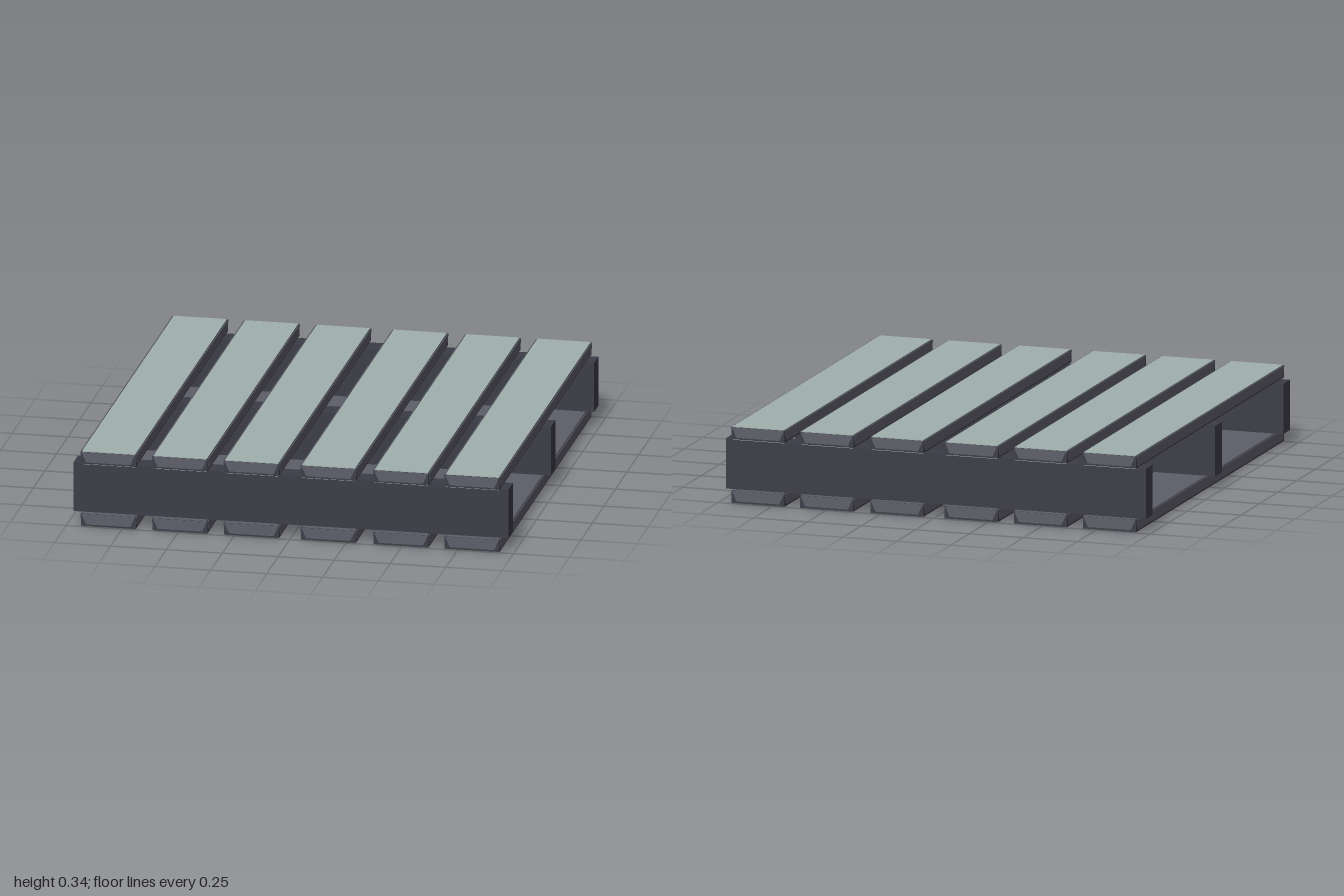
import * as THREE from 'three';

const mat = (name, color) => Object.assign(new THREE.MeshStandardMaterial({ color }), { name });

const LENGTH = 2, WIDTH = 0.252, HEIGHT = 0.06, PLATE = 0.003;

export function createModel() {
  const dark = mat('dark frame', 0x3c3c46);
  const grey = mat('grey board', 0x5e5e69);
  const green = mat('pale green face', 0xa0b0ad);
  const model = new THREE.Group();
  model.name = 'pallet';

  const box = (parent, name, material, w, h, d, x, y, z) => {
    const mesh = new THREE.Mesh(new THREE.BoxGeometry(w, h, d), material);
    mesh.name = name;
    mesh.position.set(x, y, z);
    parent.add(mesh);
  };

  // Thin side panel, narrower along its lower edge
  const panelGeometry = (width) => {
    const w = width / 2, shape = new THREE.Shape();
    shape.moveTo(-w + 0.024, -0.019);
    shape.lineTo(w - 0.024, -0.019);
    shape.lineTo(w - 0.003, 0.027);
    shape.lineTo(-w + 0.003, 0.027);
    shape.closePath();
    return new THREE.ExtrudeGeometry(shape, { depth: PLATE, bevelEnabled: false });
  };
  const endGeometry = panelGeometry(WIDTH - 2 * PLATE);
  const sideGeometry = panelGeometry(LENGTH - 2 * PLATE);

  // Board: dark core, coloured broad faces, grey panels around the edge
  const addBoard = (name, x, y, faceMaterial) => {
    const board = new THREE.Group();
    board.name = name;
    board.position.set(x, y, 0);
    const w = WIDTH - 2 * PLATE, l = LENGTH - 2 * PLATE;
    box(board, 'boardCore', dark, w, HEIGHT - 2 * PLATE, l, 0, 0, 0);
    for (const s of [-1, 1]) {
      box(board, s > 0 ? 'upperFace' : 'lowerFace', faceMaterial,
        w - 0.008, PLATE, l - 0.008, 0, s * (HEIGHT - PLATE) / 2, 0);
      const end = new THREE.Mesh(endGeometry, grey);
      end.name = 'endPanel';
      end.rotation.y = s > 0 ? 0 : Math.PI;
      end.position.z = s * l / 2;
      const side = new THREE.Mesh(sideGeometry, grey);
      side.name = 'sidePanel';
      side.rotation.y = s * Math.PI / 2;
      side.position.x = s * w / 2;
      board.add(end, side);
    }
    model.add(board);
  };

  for (const x of [-0.812, -0.492, -0.172, 0.172, 0.497, 0.815]) {
    addBoard('topBoard', x, 0.315, green);
    addBoard('bottomBoard', x, 0.03, grey);
  }

  // Three cross beams between the decks
  for (const z of [-0.928, 0.004, 0.925]) {
    box(model, 'crossBeam', dark, 1.945, 0.225, 0.094, 0, 0.1725, z);
  }
  return model;
}
